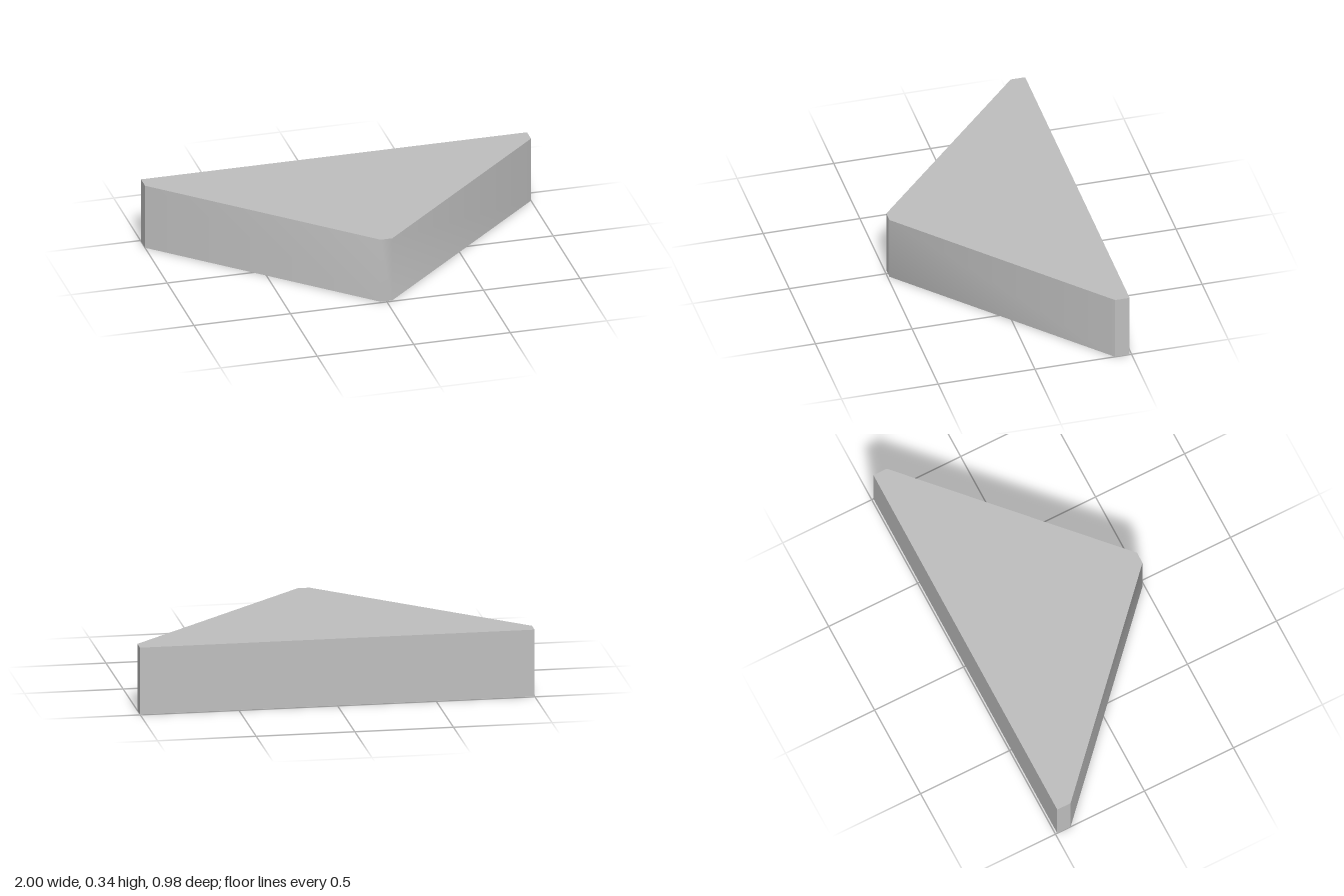
import * as THREE from 'three';
import { toCreasedNormals } from 'three/addons/utils/BufferGeometryUtils.js';

// Mirrored [x, z] loop from three points running from back to front tip
const mirrorLoop = (half) => [...half, ...half.map(([x, z]) => [-x, z]).reverse()];

const outer = mirrorLoop([[1, -0.49], [1, -0.415], [0.03, 0.49]]);
const recess = mirrorLoop([[0.8, -0.43], [0.8, -0.395], [0.015, 0.35]]);
const inner = mirrorLoop([[0.775, -0.41], [0.775, -0.398], [0.012, 0.325]]);

const HEIGHT = 0.345, LEDGE = 0.053, FLOOR = 0.08;

// Flat horizontal face, facing up or down, with an optional hole
function face(loop, y, up, hole) {
  const s = up ? -1 : 1;
  const points = (l) => l.map(([x, z]) => new THREE.Vector2(x, s * z));
  const shape = new THREE.Shape(points(loop));
  if (hole) shape.holes.push(new THREE.Path(points(hole)));
  return new THREE.ShapeGeometry(shape).rotateX(s * Math.PI / 2).translate(0, y, 0);
}

// Vertical wall around a loop, facing outward or inward
function wall(loop, y0, y1, outward) {
  const pos = [];
  loop.forEach(([ax, az], i) => {
    const [bx, bz] = loop[(i + 1) % loop.length];
    const a0 = [ax, y0, az], a1 = [ax, y1, az];
    const b0 = [bx, y0, bz], b1 = [bx, y1, bz];
    const quad = outward ? [a0, b1, b0, a0, a1, b1] : [a0, b0, b1, a0, b1, a1];
    pos.push(...quad.flat());
  });
  const geometry = new THREE.BufferGeometry();
  geometry.setAttribute('position', new THREE.Float32BufferAttribute(pos, 3));
  // Blunt front tip shades smoothly, the back corners stay sharp
  return toCreasedNormals(geometry, Math.PI / 4);
}

export function createModel() {
  const group = new THREE.Group();
  group.name = 'triangularBlock';
  const grey = new THREE.MeshStandardMaterial({ color: 0xbfbfbf });
  grey.name = 'grey';

  const parts = {
    // Outer body
    topFace: face(outer, HEIGHT, true),
    outerWall: wall(outer, 0, HEIGHT, true),
    bottomRim: face(outer, 0, false, recess),
    // Stepped recess underneath
    recessWall: wall(recess, 0, LEDGE, false),
    recessLedge: face(recess, LEDGE, false, inner),
    innerRecessWall: wall(inner, LEDGE, FLOOR, false),
    recessFloor: face(inner, FLOOR, false),
  };
  for (const [name, geometry] of Object.entries(parts)) {
    const mesh = new THREE.Mesh(geometry, grey);
    mesh.name = name;
    group.add(mesh);
  }
  return group;
}
